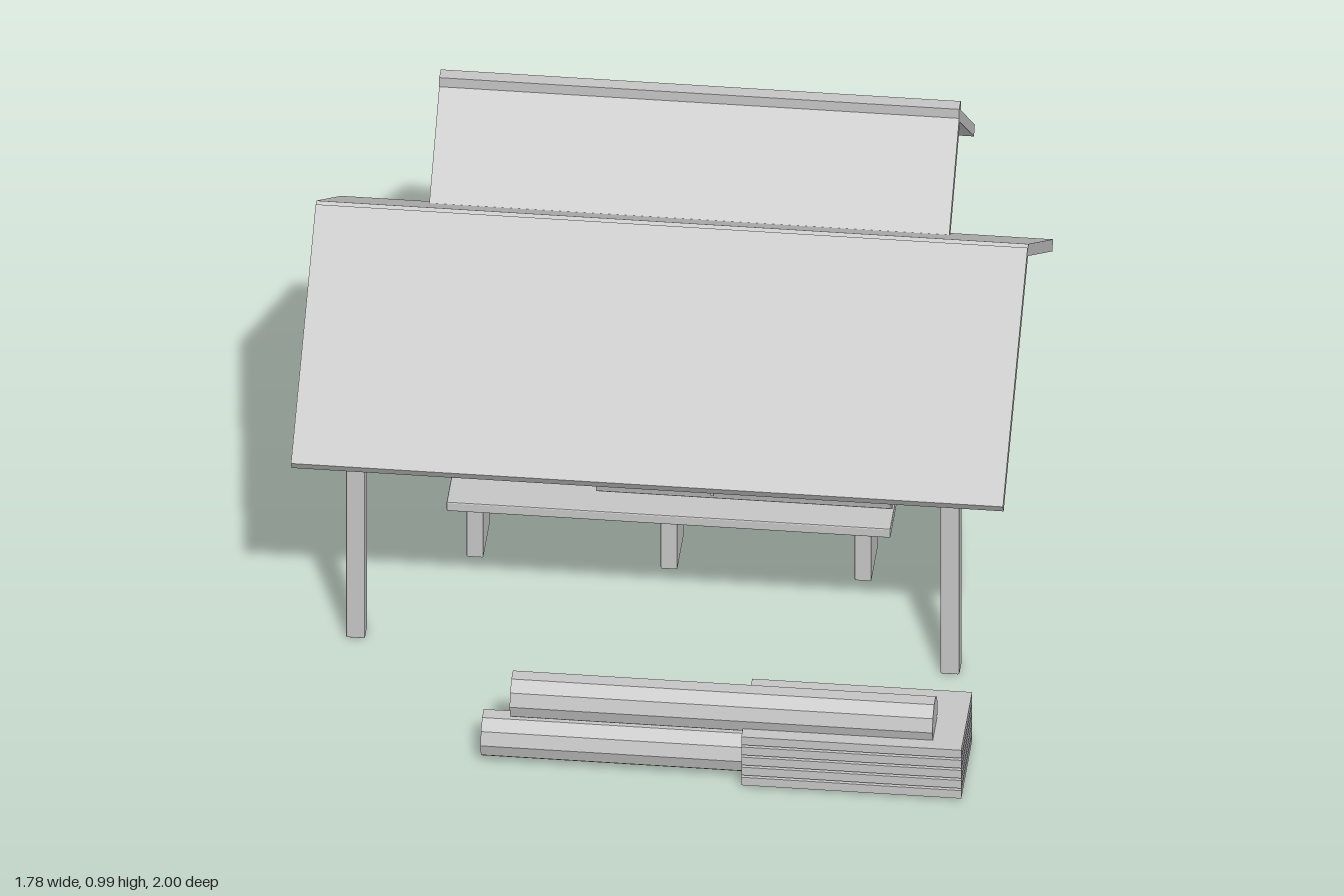
import * as THREE from 'three';
import { RoundedBoxGeometry } from 'three/addons/geometries/RoundedBoxGeometry.js';

export function createModel() {
  const model = new THREE.Group();
  model.name = 'sawmill';
  const grey = new THREE.MeshStandardMaterial({ color: 0xc4c4c4, flatShading: true });
  grey.name = 'plain grey';

  const add = (parent, name, geometry) => {
    const mesh = new THREE.Mesh(geometry, grey);
    mesh.name = name;
    parent.add(mesh);
    return mesh;
  };
  const group = (name) => {
    const g = new THREE.Group();
    g.name = name;
    model.add(g);
    return g;
  };
  // Box given by its limits on each axis, with an optional small bevel
  const box = (parent, name, [x0, x1], [y0, y1], [z0, z1], bevel = 0) => {
    const s = [x1 - x0, y1 - y0, z1 - z0];
    const geo = bevel ? new RoundedBoxGeometry(...s, 1, bevel) : new THREE.BoxGeometry(...s);
    const mesh = add(parent, name, geo);
    mesh.position.set((x0 + x1) / 2, (y0 + y1) / 2, (z0 + z1) / 2);
    return mesh;
  };
  // Ten-sided log lying along x
  const log = (parent, name, x0, x1, y, z, r) => {
    const geo = new THREE.CylinderGeometry(r, r, x1 - x0, 10);
    geo.rotateZ(Math.PI / 2);
    add(parent, name, geo).position.set((x0 + x1) / 2, y, z);
  };
  // Pair of sloping slabs that meet at a ridge along x
  const roof = (parent, name, width, z, ridgeY, eaveY, reach, thick) => {
    const drop = ridgeY - eaveY;
    for (const side of [1, -1]) {
      const slab = add(parent, name, new THREE.BoxGeometry(width, thick, Math.hypot(reach, drop)));
      slab.position.set(0, (ridgeY + eaveY) / 2, z + side * reach / 2);
      slab.rotation.x = side * Math.atan2(drop, reach);
    }
  };

  // Open work shelter
  const shelter = group('shelter');
  roof(shelter, 'shelterRoof', 1.78, 0, 0.982, 0.597, 0.578, 0.03);
  for (const x of [-0.743, 0.743])
    for (const z of [-0.43, 0.43])
      box(shelter, 'post', [x - 0.024, x + 0.024], [0, 0.598], [z - 0.024, z + 0.024], 0.004);

  // Cabin behind the shelter
  const cabin = group('cabin');
  const cz = -0.655;
  box(cabin, 'plinth', [-0.58, 0.58], [0, 0.085], [-0.922, -0.385], 0.006);
  box(cabin, 'walls', [-0.555, 0.555], [0.06, 0.64], [-0.895, -0.415], 0.006);
  box(cabin, 'doorStep', [-0.36, -0.04], [0, 0.036], [-0.385, -0.295], 0.004);
  roof(cabin, 'cabinRoof', 1.3, cz, 0.918, 0.641, 0.337, 0.03);
  box(cabin, 'ridgeCap', [-0.65, 0.65], [0.895, 0.95], [cz - 0.018, cz + 0.018]);

  // Triangular gables, drawn in the z-y plane and turned to face the ends
  const triangle = new THREE.Shape([
    new THREE.Vector2(-0.237, 0), new THREE.Vector2(0.237, 0), new THREE.Vector2(0, 0.2)]);
  for (const x of [-0.548, 0.528]) {
    const geo = new THREE.ExtrudeGeometry(triangle, { depth: 0.02, bevelEnabled: false });
    geo.rotateY(Math.PI / 2);
    add(cabin, 'gable', geo).position.set(x, 0.636, cz);
  }

  // Door with jambs and lintel
  box(cabin, 'door', [-0.305, -0.1], [0.08, 0.415], [-0.416, -0.408]);
  for (const x of [-0.33, -0.075])
    box(cabin, 'doorJamb', [x - 0.026, x + 0.026], [0.08, 0.43], [-0.42, -0.386], 0.004);
  box(cabin, 'lintel', [-0.37, -0.035], [0.425, 0.485], [-0.42, -0.374], 0.005);

  // Saw bench under the shelter
  const bench = group('sawBench');
  box(bench, 'benchTop', [-0.555, 0.555], [0.142, 0.17], [-0.083, 0.083], 0.004);
  for (const x of [-0.485, 0, 0.485])
    box(bench, 'benchLeg', [x - 0.021, x + 0.021], [0, 0.145], [-0.072, 0.072], 0.003);
  log(bench, 'benchLog', -0.185, 0.553, 0.238, 0, 0.056);
  box(bench, 'sawBlade', [0.105, 0.113], [0.238, 0.365], [-0.083, 0.083]);

  // Stacked logs in the yard
  const yard = group('timberYard');
  log(yard, 'lowerLog', -0.375, 0.68, 0.06, 0.913, 0.06);
  log(yard, 'upperLog', -0.302, 0.755, 0.182, 0.913, 0.06);

  // Pile of sawn boards
  for (let i = 0; i < 5; i++) {
    const y = 0.008 + i * 0.0305;
    box(yard, 'board', [0.28, 0.83], [y, y + 0.024], [0.745, 1.0]);
  }
  return model;
}
